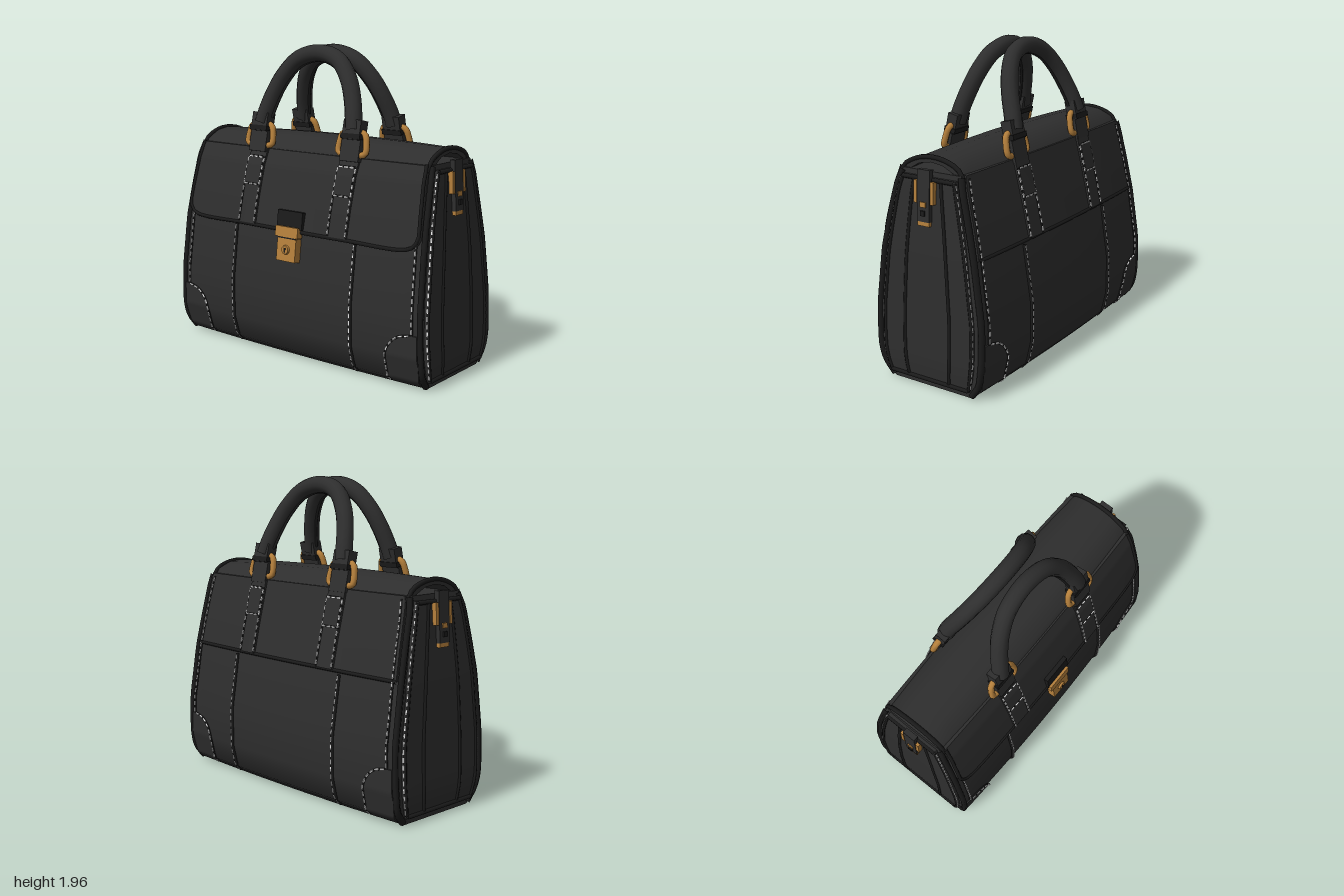
import * as THREE from 'three';
import { mergeGeometries, toCreasedNormals } from 'three/addons/utils/BufferGeometryUtils.js';

const mat = (name, color) => Object.assign(new THREE.MeshStandardMaterial({ color }), { name });

// Piecewise-linear lookup in [[y, value], ...]
const table = (rows) => (y) => {
  if (y <= rows[0][0]) return rows[0][1];
  for (let i = 1; i < rows.length; i++) {
    const [y0, a] = rows[i - 1], [y1, b] = rows[i];
    if (y <= y1) return a + (b - a) * (y - y0) / (y1 - y0);
  }
  return rows[rows.length - 1][1];
};

// Side profile: depth of the front and back walls, and half width, by height
const FRONT = [[0, 0.28], [0.05, 0.345], [0.2, 0.39], [0.45, 0.39], [0.8, 0.345], [1.0, 0.3], [1.2, 0.245], [1.3, 0.2]];
const BACK = [[0, 0.31], [0.05, 0.375], [0.2, 0.41], [0.45, 0.41], [0.8, 0.355], [1.0, 0.31], [1.2, 0.26], [1.3, 0.235]];
const wall = { front: table(FRONT), back: table(BACK) };
const halfWidth = table([[0, 0.955], [0.15, 0.972], [0.8, 0.955], [1.25, 0.93], [1.35, 0.9]]);
const bulge = (x) => 1 - 0.08 * x * x;

function reshape(geo, rule) {
  const p = geo.attributes.position, v = new THREE.Vector3();
  for (let i = 0; i < p.count; i++) {
    rule(v.fromBufferAttribute(p, i));
    p.setXYZ(i, v.x, v.y, v.z);
  }
  geo.deleteAttribute('uv');
  return toCreasedNormals(geo, 0.7);
}

export function createModel() {
  const leather = mat('black leather', 0x2e2e2e);
  const edging = mat('dark edging', 0x1b1b1b);
  const brass = mat('brass', 0xb5803c);
  const thread = mat('white thread', 0xf0f0f0);
  const model = new THREE.Group();
  const add = (name, geo, material, parent = model) => {
    const m = new THREE.Mesh(geo, material);
    m.name = name;
    parent.add(m);
    return m;
  };
  const box = (name, w, h, d, x, y, z, material, parent) => {
    const m = add(name, new THREE.BoxGeometry(w, h, d), material, parent);
    m.position.set(x, y, z);
    return m;
  };

  // Profile (z, y) swept across the width
  function sweep(points, rule) {
    const shape = new THREE.Shape(points.map(([z, y]) => new THREE.Vector2(z, y)));
    const g = new THREE.ExtrudeGeometry(shape, { depth: 2, steps: 16, bevelEnabled: false });
    return reshape(g.translate(0, 0, -1).rotateY(-Math.PI / 2), rule);
  }

  // Slab that follows the front or back wall between two side edges
  function slab(name, side, y0, y1, left, right, thick, lift = 0, material = leather) {
    const nx = right(y1) - left(y1) > 0.5 ? 16 : 4;
    const g = reshape(new THREE.BoxGeometry(1, 1, 1, nx, 24, 1), (v) => {
      v.y = y0 + (v.y + 0.5) * (y1 - y0);
      v.x = left(v.y) + (v.x + 0.5) * (right(v.y) - left(v.y));
      v.z = wall[side](v.y) * bulge(v.x) + lift + (v.z > 0 ? thick : -0.01);
    });
    if (side === 'back') g.rotateY(Math.PI);
    return add(name, g, material);
  }

  // Raised seam with an optional broken line of stitches
  function seam(name, points, radius = 0.009, stitched = true) {
    const curve = new THREE.CatmullRomCurve3(points, false, 'centripetal');
    const length = curve.getLength();
    add(name, new THREE.TubeGeometry(curve, Math.max(8, Math.ceil(length * 24)), radius, 6), edging);
    if (!stitched) return;
    const n = Math.max(3, Math.round(length / 0.045)), dashes = [], q = new THREE.Quaternion();
    for (let i = 0; i < n; i++) {
      const t = (i + 0.5) / n;
      q.setFromUnitVectors(new THREE.Vector3(0, 0, 1), curve.getTangentAt(t));
      const p = curve.getPointAt(t);
      dashes.push(new THREE.BoxGeometry(0.009, 0.009, 0.028).applyQuaternion(q)
        .translate(p.x, p.y, p.z + Math.sign(p.z) * radius * 0.75));
    }
    add(name + 'Stitches', mergeGeometries(dashes), thread);
  }
  const onWall = (side, list, lift = 0.004) => list.map(([x, y]) => new THREE.Vector3(
    x, y, (side === 'front' ? 1 : -1) * (wall[side](y) * bulge(x) + lift)));
  const span = (a, b, n, f) => Array.from({ length: n + 1 }, (_, i) => f(a + (b - a) * i / n));

  // Body
  add('body', sweep([...FRONT.map(([y, z]) => [z, y]), ...BACK.map(([y, z]) => [-z, y]).reverse()], (v) => {
    v.x *= halfWidth(v.y);
    v.z *= bulge(v.x);
  }), leather);

  // Curved top joining the front flap to the back
  const arch = [[0.228, 1.28], [0.2, 1.335], [0.1, 1.385], [0, 1.4], [-0.1, 1.39], [-0.2, 1.35], [-0.248, 1.28]];
  add('flapTop', sweep([...arch, ...arch.map(([z, y]) => [z * 0.88, y - 0.03]).reverse()], (v) => {
    v.x *= 0.905;
    v.y -= 0.025 * v.x * v.x;
    v.z *= bulge(v.x);
  }), leather);
  for (const s of [-1, 1]) {
    seam('flapTopEdge', arch.map(([z, y]) => new THREE.Vector3(s * 0.9, y - 0.02, z * 0.935)), 0.014, false);
  }

  // Front flap with rounded lower corners, and back upper panel
  const flapEdge = (y) => {
    const r = 0.1, d = Math.max(0, r - (y - 0.82));
    return table([[0.82, 0.935], [1.3, 0.9]])(y) - (r - Math.sqrt(Math.max(0, r * r - d * d)));
  };
  slab('frontFlap', 'front', 0.82, 1.3, (y) => -flapEdge(y), flapEdge, 0.028);
  slab('backUpperPanel', 'back', 0.83, 1.3, (y) => -halfWidth(y) + 0.03, (y) => halfWidth(y) - 0.03, 0.012);
  const flapSide = span(1.3, 0.82, 24, (y) => [flapEdge(y) - 0.008, y + 0.006]);
  seam('flapRim', onWall('front', [...flapSide.map(([x, y]) => [-x, y]), [-0.4, 0.826], [0, 0.826],
    [0.4, 0.826], ...flapSide.reverse()], 0.026), 0.012, false);
  seam('backPanelRim', onWall('back', span(-0.92, 0.92, 12, (x) => [x, 0.83]), 0.008), 0.012, false);

  // Edge piping, wall seams and corner guards
  const guardEdge = (y) => y < 0.17 ? 0.73 : 0.905 - 0.175 * Math.sqrt(Math.max(0, 1 - ((y - 0.17) / 0.17) ** 2));
  for (const side of ['front', 'back']) {
    const flapLift = side === 'front' ? 0.03 : 0.014;
    for (const s of [-1, 1]) {
      seam('edgePiping', onWall(side, span(0.012, 1.29, 16, (y) => [s * (halfWidth(y) - 0.005), y]), -0.004), 0.02, false);
      seam('borderSeam', onWall(side, span(0.34, side === 'front' ? 0.92 : 1.28, 8, (y) => [s * (halfWidth(y) - 0.055), y]),
        side === 'front' ? 0.002 : 0.01), 0.007);
      seam('panelSeam', onWall(side, span(0.02, 0.81, 14, (y) => [s * 0.48, y])), 0.012);
      const outer = (y) => halfWidth(y) - 0.02;
      if (s > 0) slab('cornerGuard', side, 0.012, 0.34, guardEdge, outer, 0.01);
      else slab('cornerGuard', side, 0.012, 0.34, (y) => -outer(y), (y) => -guardEdge(y), 0.01);
      seam('cornerGuardSeam', onWall(side, span(0.02, 0.34, 16, (y) => [s * guardEdge(y), y]), 0.008), 0.007);

      // Handle strap with a square reinforcement
      const cx = s * 0.365;
      slab('handleStrap', side, 0.835, 1.3, () => cx - 0.07, () => cx + 0.07, 0.012, flapLift);
      slab('strapPatch', side, 1.08, 1.25, () => cx - 0.062, () => cx + 0.062, 0.022, flapLift);
      for (const e of [-0.066, 0.066]) {
        seam('strapSeam', onWall(side, span(0.84, 1.25, 10, (y) => [cx + e, y]), flapLift + 0.012), 0.006);
      }
      for (const y of [1.08, 1.25]) {
        seam('strapPatchSeam', onWall(side, [[cx - 0.062, y], [cx + 0.062, y]], flapLift + 0.02), 0.006);
      }
    }
    seam('baseSeam', onWall(side, span(-0.94, 0.94, 12, (x) => [x, 0.016]), 0), 0.008, false);
  }

  // Handles, their tabs and brass rings
  for (const f of [1, -1]) {
    const handle = new THREE.Group();
    handle.name = f > 0 ? 'frontHandle' : 'backHandle';
    model.add(handle);
    const depth = (y) => f * table([[1.3, 0.235], [1.5, 0.2], [1.91, f > 0 ? 0.08 : 0.05]])(y);
    const half = [[0.368, 1.46], [0.35, 1.54], [0.315, 1.65], [0.26, 1.76], [0.16, 1.865]];
    const path = [...half.map(([x, y]) => [-x, y]), [0, 1.907], ...half.slice().reverse()];
    const curve = new THREE.CatmullRomCurve3(path.map(([x, y]) => new THREE.Vector3(x, y, depth(y))));
    add('grip', new THREE.TubeGeometry(curve, 48, 0.053, 12), leather, handle);
    add('gripSeam', new THREE.TubeGeometry(new THREE.CatmullRomCurve3(path.slice(1, -1).map(([x, y]) =>
      new THREE.Vector3(x * 0.87, y - 0.048, depth(y)))), 40, 0.009, 6), edging, handle);
    for (const s of [-1, 1]) {
      const mount = new THREE.Group();
      mount.name = 'handleMount';
      mount.position.set(s * 0.37, 1.38, depth(1.38));
      mount.rotation.x = -f * 0.22;
      handle.add(mount);
      box('lowerTab', 0.14, 0.13, 0.045, 0, -0.04, 0, leather, mount);
      box('upperTab', 0.13, 0.12, 0.07, 0, 0.085, 0, leather, mount);
      box('tabBand', 0.145, 0.03, 0.08, 0, 0.045, 0, edging, mount);
      const ring = [[-0.075, -0.06], [-0.1, -0.05], [-0.1, 0.01], [-0.078, 0.065], [0.078, 0.065], [0.1, 0.01], [0.1, -0.05], [0.075, -0.06]];
      const ringCurve = new THREE.CatmullRomCurve3(ring.map(([x, y]) => new THREE.Vector3(x, y, 0)), true);
      add('ring', new THREE.TubeGeometry(ringCurve, 40, 0.02, 8, true), brass, mount);
    }
  }

  // Front clasp
  const clasp = new THREE.Group();
  clasp.name = 'clasp';
  clasp.position.set(0, 0.74, 0.37);
  clasp.rotation.x = -0.12;
  model.add(clasp);
  box('claspTab', 0.2, 0.11, 0.03, 0, 0.155, 0.008, edging, clasp);
  box('claspHinge', 0.18, 0.065, 0.045, -0.005, 0.08, 0.018, brass, clasp);
  box('lockBody', 0.15, 0.145, 0.05, 0, -0.03, 0.012, brass, clasp);
  box('lockGap', 0.14, 0.012, 0.05, 0, 0.045, 0.014, edging, clasp);
  const boss = add('lockBoss', new THREE.CylinderGeometry(0.026, 0.03, 0.014, 16), brass, clasp);
  boss.rotation.x = Math.PI / 2;
  boss.position.set(0, -0.03, 0.043);
  box('keyhole', 0.012, 0.03, 0.006, 0, -0.032, 0.049, edging, clasp);

  // End gussets: panel, pleat seams and buckle strap
  for (const s of [-1, 1]) {
    const endX = (y) => halfWidth(y) + 0.016;
    const g = reshape(new THREE.BoxGeometry(1, 1, 1, 1, 16, 6), (v) => {
      v.y = 0.04 + (v.y + 0.5) * 1.23;
      const back = -wall.back(v.y) * 0.8, front = wall.front(v.y) * 0.8;
      v.x = s * (endX(v.y) + (s * v.x > 0 ? 0 : -0.03));
      v.z = back + (v.z + 0.5) * (front - back);
    });
    add('gusset', g, leather);
    for (const k of [0.78, 0.4, -0.4, -0.78]) {
      const depth = k > 0 ? wall.front : wall.back;
      seam('gussetSeam', span(0.06, 1.26, 12, (y) => new THREE.Vector3(s * endX(y), y, k * depth(y))), 0.011, Math.abs(k) > 0.5);
    }
    for (const y of [0.05, 1.26]) {
      seam('gussetRim', [new THREE.Vector3(s * endX(y), y, wall.front(y) * 0.78),
        new THREE.Vector3(s * endX(y), y, -wall.back(y) * 0.78)], 0.014, false);
    }
    const buckle = new THREE.Group();
    buckle.name = 'sideBuckle';
    buckle.position.set(s * 0.962, 1.15, 0);
    buckle.rotation.z = s * 0.05;
    model.add(buckle);
    box('buckleStrap', 0.035, 0.3, 0.085, 0, 0.02, 0, leather, buckle);
    box('buckleFoot', 0.03, 0.04, 0.08, 0, -0.135, 0, brass, buckle);
    for (const z of [-0.058, 0.058]) box('buckleBar', 0.035, 0.13, 0.022, 0, 0.04, z, brass, buckle);
    box('buckleLoop', 0.012, 0.03, 0.04, s * 0.018, -0.03, 0, brass, buckle);
    box('buckleStud', 0.016, 0.03, 0.03, s * 0.02, -0.08, 0, edging, buckle);
  }
  return model;
}
